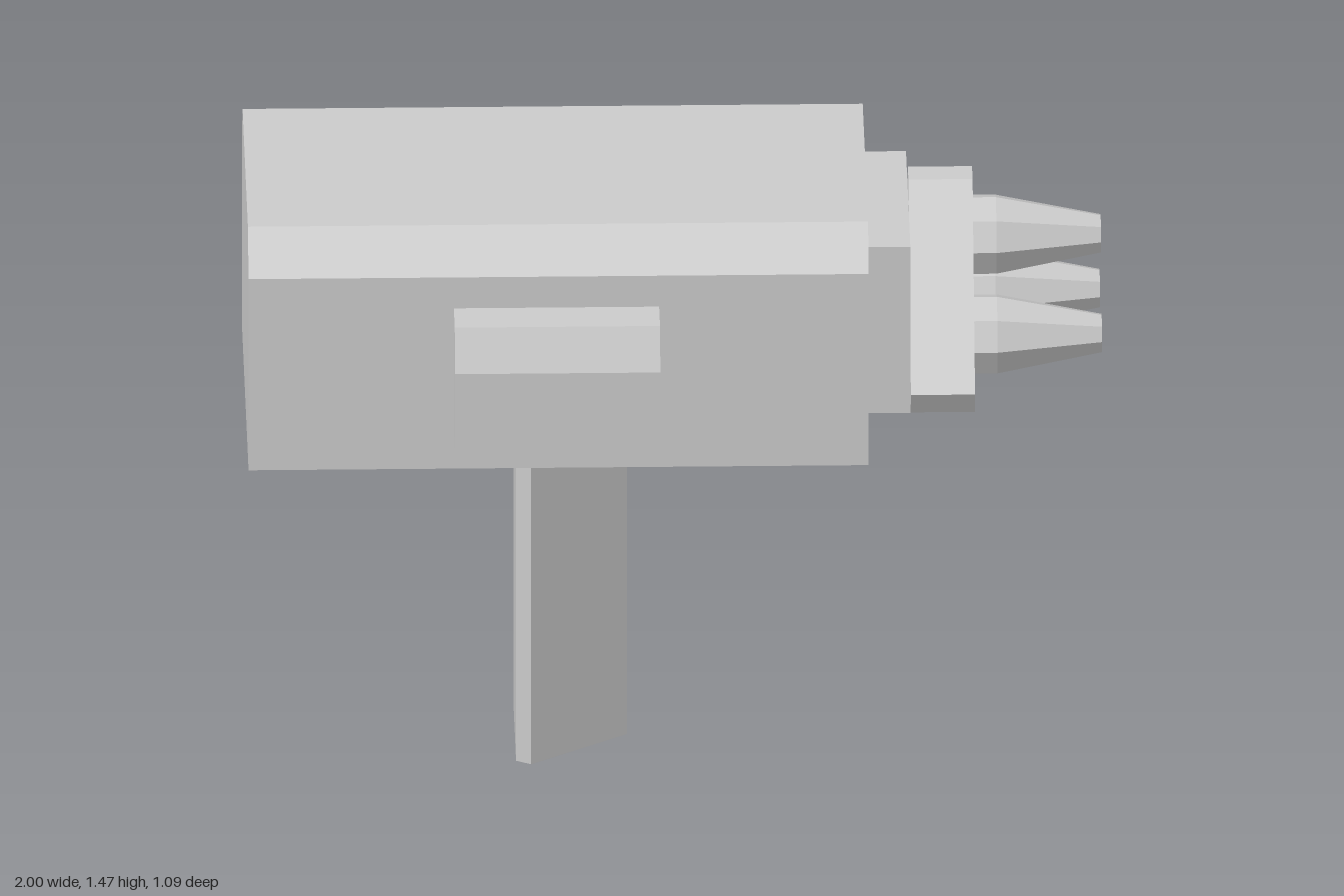
import * as THREE from 'three';

const material = new THREE.MeshStandardMaterial({ color: 0xcccccc, flatShading: true });

const extrude = (points, depth) => new THREE.ExtrudeGeometry(
  new THREE.Shape(points.map(([u, v]) => new THREE.Vector2(u, v))),
  { depth, bevelEnabled: false });

// Profile given as [z, y], swept from x0 to x1
function sweepX(profile, x0, x1) {
  return extrude(profile.map(([z, y]) => [-z, y]), x1 - x0)
    .rotateY(Math.PI / 2).translate(x0, 0, 0);
}

// Half profile [z, y] closed by its mirror image across z = 0
const mirrored = (half) => [...half, ...half.map(([z, y]) => [-z, y]).reverse()];

export function createModel() {
  const group = new THREE.Group();
  const add = (name, geometry) => {
    const mesh = new THREE.Mesh(geometry, material);
    mesh.name = name;
    group.add(mesh);
    return mesh;
  };

  // Main housing with chamfered top edges
  add('body', sweepX(mirrored([[0.395, 0.87], [0.395, 1.365], [0.32, 1.465]]), -1, 0.45));

  // Block joining the housing to the barrel plate
  add('neck', new THREE.BoxGeometry(0.1, 0.43, 0.52).translate(0.5, 1.155, 0));

  // Triangular plate with clipped corners
  add('barrelPlate', sweepX(mirrored([[0.293, 0.957], [0.325, 1.017], [0.035, 1.437]]), 0.55, 0.7));

  // Three tapered barrels with hollow muzzles
  const barrelProfile = [[0.103, 0.7], [0.103, 0.755], [0.05, 1], [0, 0.9]]
    .map(([r, x]) => new THREE.Vector2(r, x));
  for (const [name, y, z] of [['topBarrel', 1.277, 0], ['leftBarrel', 1.077, -0.122], ['rightBarrel', 1.077, 0.122]]) {
    const barrel = new THREE.LatheGeometry(barrelProfile, 8).rotateZ(-Math.PI / 2).scale(1, 0.93, 1);
    add(name, barrel).position.set(0, y, z);
  }

  // Side pods with sloped upper edges
  for (const s of [1, -1]) {
    const profile = [[0.39, 0.975], [0.543, 0.975], [0.543, 1.185], [0.5, 1.285], [0.39, 1.285]];
    add(s > 0 ? 'frontSidePod' : 'backSidePod',
      sweepX(profile.map(([z, y]) => [s * z, y]), -0.52, -0.04));
  }

  // Triangular grip with clipped corners, given as [x, z]
  const grip = [[-0.37, 0.16], [-0.335, 0.18], [-0.108, 0.02], [-0.108, -0.02], [-0.335, -0.18], [-0.37, -0.16]];
  add('grip', extrude(grip, 0.88).rotateX(-Math.PI / 2));

  return group;
}
